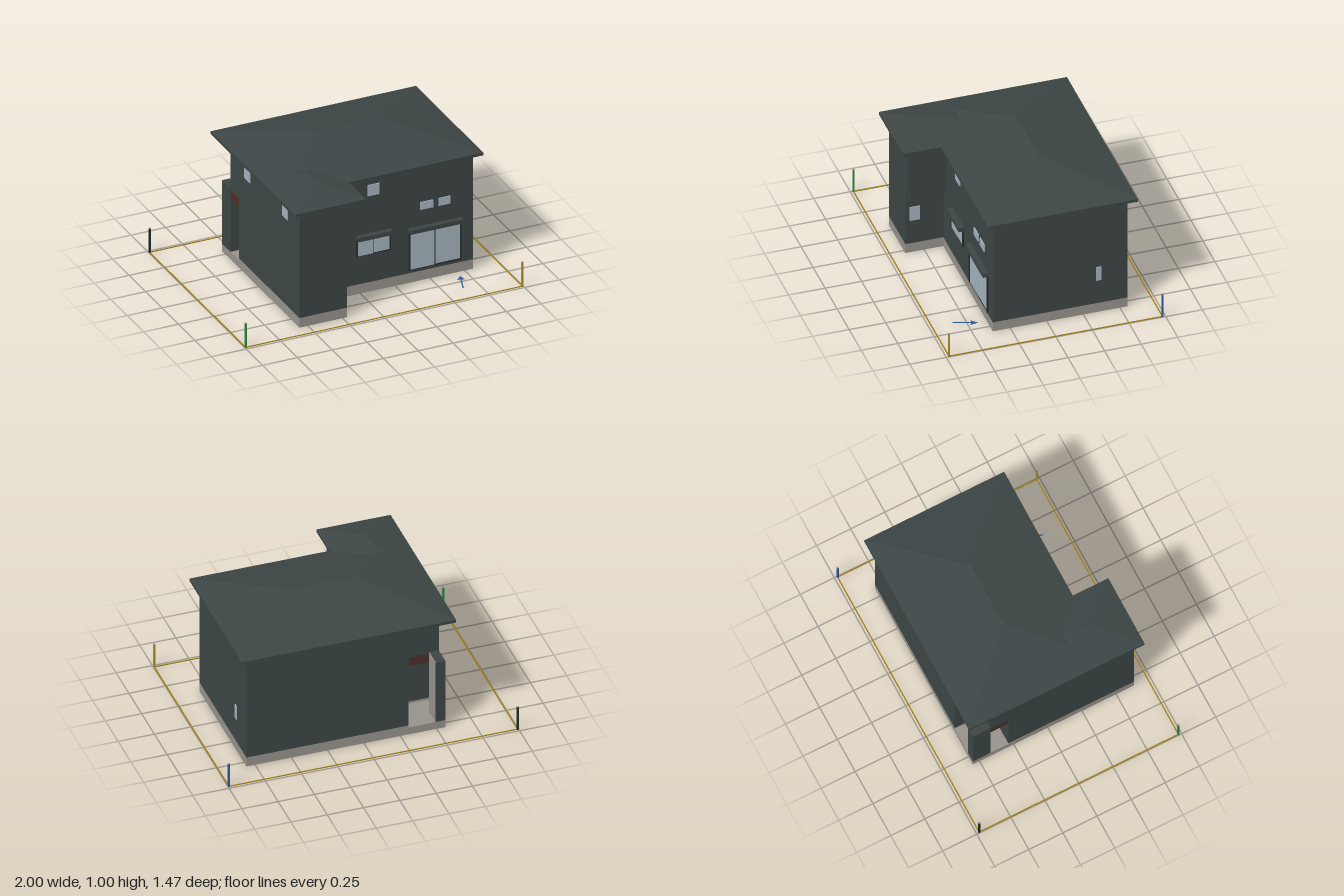
import * as THREE from 'three';

const mat = (name, color) => {
  const m = new THREE.MeshStandardMaterial({ color });
  m.name = name;
  return m;
};

export function createModel() {
  const house = new THREE.Group();
  house.name = 'house';
  const slate = mat('slate', 0x3c4545);
  const concrete = mat('concrete', 0x96918b);
  const glass = mat('glass', 0xa3b2bc);
  const frame = mat('black', 0x25292a);
  const brown = mat('brown', 0x4a3028);
  const gold = mat('gold', 0x9c7c14);
  const yellow = mat('yellow', 0xa8922c);
  const green = mat('green', 0x2f8a45);
  const blue = mat('blue', 0x2a5a9c);

  const add = (name, geometry, material) => {
    const m = new THREE.Mesh(geometry, material);
    m.name = name;
    house.add(m);
    return m;
  };
  // Box given by its limits on each axis
  const box = (name, material, x0, x1, y0, y1, z0, z1) => {
    const m = add(name, new THREE.BoxGeometry(x1 - x0, y1 - y0, z1 - z0), material);
    m.position.set((x0 + x1) / 2, (y0 + y1) / 2, (z0 + z1) / 2);
    return m;
  };
  // Upright prism over a floor plan of [x, z] points
  const prism = (name, material, plan, y0, y1, hole) => {
    const toPoints = (a) => a.map(([x, z]) => new THREE.Vector2(x, z));
    const shape = new THREE.Shape(toPoints(plan));
    if (hole) shape.holes.push(new THREE.Path(toPoints(hole)));
    const g = new THREE.ExtrudeGeometry(shape, { depth: y1 - y0, bevelEnabled: false });
    g.rotateX(Math.PI / 2).translate(0, y1, 0);
    return add(name, g, material);
  };
  // Moves every side of a right-angled plan inwards by t
  const inset = (plan, t) => plan.map(([x, z], i) => {
    const [px, pz] = plan[(i + plan.length - 1) % plan.length];
    const [nx, nz] = plan[(i + 1) % plan.length];
    const dx = -Math.sign(z - pz) - Math.sign(nz - z);
    const dz = Math.sign(x - px) + Math.sign(nx - x);
    return [x + dx * t, z + dz * t];
  });
  // L-shaped plan with a notch in the back corner for the porch
  const plan = (wingX, notchZ) => [
    [-0.305, -0.55], [0.81, -0.55], [0.81, 0.37], [wingX, 0.37],
    [wingX, 0.63], [-0.56, 0.63], [-0.56, notchZ], [-0.305, notchZ],
  ];

  // Foundation and the two storeys
  const lower = plan(-0.22, -0.29);
  prism('foundation', concrete, lower, 0, 0.07, inset(lower, 0.035));
  prism('floorUnderside', brown, inset(lower, 0.005), 0.062, 0.07);
  prism('lowerWalls', slate, lower, 0.07, 0.51);
  prism('upperWalls', slate, plan(-0.155, -0.42), 0.51, 0.85);
  box('overhangLedge', slate, -0.23, -0.165, 0.45, 0.51, 0.36, 0.62);

  // Porch
  box('porchSlab', concrete, -0.56, -0.3, 0, 0.055, -0.55, -0.285);
  box('porchCeiling', brown, -0.559, -0.3, 0.44, 0.51, -0.419, -0.285);
  box('porchPillar', slate, -0.56, -0.495, 0.055, 0.52, -0.55, -0.42);
  box('pillarInnerFace', concrete, -0.496, -0.49, 0.055, 0.52, -0.545, -0.425);
  box('porchEaveSoffit', brown, -0.56, -0.305, 0.84, 0.846, -0.55, -0.42);

  // Eaves and two crossing hip roofs
  const eaveY = 0.865, slope = 0.13 / 0.5125;
  prism('eaves', slate, [
    [-0.615, -0.605], [0.86, -0.605], [0.86, 0.42], [-0.105, 0.42], [-0.105, 0.68], [-0.615, 0.68],
  ], 0.845, eaveY);
  const hipRoof = (name, x0, x1, z0, z1) => {
    const h = Math.min(x1 - x0, z1 - z0) / 2;
    const corners = [[x0, z1, 1, -1], [x1, z1, -1, -1], [x1, z0, -1, 1], [x0, z0, 1, 1]];
    const positions = [];
    corners.forEach((p, i) => {
      const q = corners[(i + 1) % 4];
      const base = ([x, z]) => [x, eaveY, z];
      const ridge = ([x, z, sx, sz]) => [x + sx * h, eaveY + h * slope, z + sz * h];
      positions.push(...base(p), ...base(q), ...ridge(q), ...base(p), ...ridge(q), ...ridge(p));
    });
    const g = new THREE.BufferGeometry();
    g.setAttribute('position', new THREE.Float32BufferAttribute(positions, 3));
    g.computeVertexNormals();
    add(name, g, slate);
  };
  hipRoof('mainRoof', -0.615, 0.86, -0.605, 0.42);
  hipRoof('wingRoof', -0.615, -0.105, 0.045, 0.68);

  // Front windows: x0, x1, y0, y1
  [
    [0.05, 0.135, 0.705, 0.785], [0.43, 0.52, 0.52, 0.575], [0.56, 0.645, 0.52, 0.575],
    [-0.02, 0.09, 0.28, 0.395], [0.097, 0.205, 0.285, 0.385],
    [0.355, 0.53, 0.098, 0.365], [0.537, 0.712, 0.103, 0.36],
  ].forEach(([x0, x1, y0, y1]) => box('frontWindow', glass, x0, x1, y0, y1, 0.37, 0.378));

  // Shutter boxes and frames of the two large windows
  [[-0.03, 0.215, 0.275, 0.4], [0.345, 0.72, 0.09, 0.37]].forEach(([x0, x1, y0, y1]) => {
    box('shutterBox', slate, x0, x1, y1, y1 + 0.03, 0.37, 0.408);
    box('windowBacking', frame, x0, x1, y0, y1, 0.37, 0.374);
    box('shutterRail', frame, x0, x0 + 0.008, y0, y1, 0.37, 0.382);
    box('shutterRail', frame, x1 - 0.008, x1, y0, y1, 0.37, 0.382);
  });

  // Side windows
  box('wingWindow', glass, -0.22, -0.214, 0.25, 0.355, 0.53, 0.6);
  box('rightWindow', glass, 0.81, 0.816, 0.25, 0.355, -0.37, -0.335);
  for (const z of [-0.197, 0.373]) box('leftWindow', glass, -0.566, -0.56, 0.705, 0.785, z, z + 0.082);

  // Plot boundary with a post at each corner
  for (const s of [-1, 1]) {
    box('boundaryLine', gold, -0.995, 0.995, 0, 0.004, s * 0.73 - 0.004, s * 0.73 + 0.004);
    box('boundaryLine', gold, s * 0.994 - 0.004, s * 0.994 + 0.004, 0, 0.004, -0.73, 0.73);
  }
  [[-1, 1, green], [1, 1, yellow], [1, -1, blue], [-1, -1, frame]].forEach(([sx, sz, m]) => {
    const x = sx * 0.994, z = sz * 0.73;
    box('cornerPost', m, x - 0.006, x + 0.006, 0, 0.176, z - 0.006, z + 0.006);
    box('postCap', concrete, x - 0.006, x + 0.006, 0.176, 0.18, z - 0.006, z + 0.006);
  });

  // Arrow lying on the ground, pointing to the house
  const arrow = prism('arrow', blue, [
    [0, 0], [0.022, 0.045], [0.004, 0.04], [0.004, 0.163], [-0.004, 0.163], [-0.004, 0.04], [-0.022, 0.045],
  ], 0, 0.004);
  arrow.position.set(0.687, 0, 0.433);
  arrow.rotation.y = -0.32;

  return house;
}
